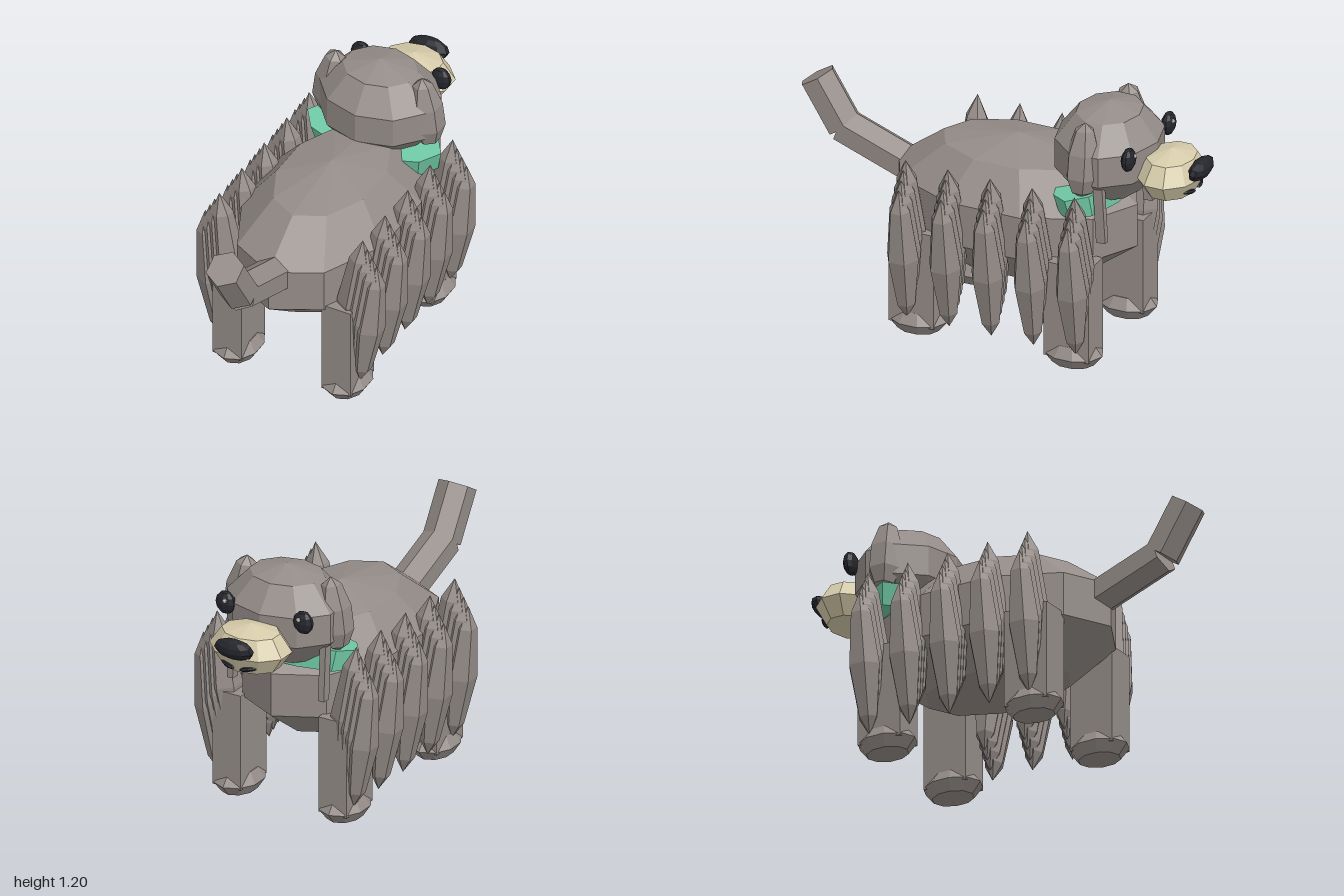
import * as THREE from 'three';

export function createModel() {
  const model = new THREE.Group();
  model.name = 'shaggyDog';

  const material = (name, color) => {
    const m = new THREE.MeshStandardMaterial({ color });
    m.name = name;
    m.flatShading = true;
    return m;
  };
  const fur = material('grey fur', 0x948c88);
  const cream = material('cream muzzle', 0xd6cbaa);
  const dark = material('dark features', 0x25252d);
  const teal = material('teal collar', 0x70c9a7);
  const glint = material('eye glint', 0xd8d8d8);

  const add = (name, geometry, mat, pos = [0, 0, 0], rot = [0, 0, 0]) => {
    const mesh = new THREE.Mesh(geometry, mat);
    mesh.name = name;
    mesh.position.set(...pos);
    mesh.rotation.set(...rot);
    model.add(mesh);
    return mesh;
  };

  // Faceted ellipsoid with ten sides and a vertex on the z axis
  const blob = (rx, ry, rz, rings = 5) =>
    new THREE.SphereGeometry(1, 10, rings).rotateY(Math.PI / 10).scale(rx, ry, rz);

  // Six-sided turned shape running from one point to another; profile is [radius, t]
  const UP = new THREE.Vector3(0, 1, 0);
  const spindle = (name, from, to, profile, turn = 0) => {
    const a = new THREE.Vector3(...from);
    const dir = new THREE.Vector3(...to).sub(a);
    const length = dir.length();
    const points = profile.map(([r, t]) => new THREE.Vector2(r, t * length));
    const mesh = add(name, new THREE.LatheGeometry(points, 6).rotateY(turn), fur, from);
    mesh.quaternion.setFromUnitVectors(UP, dir.normalize());
    return mesh;
  };

  // Body and head
  add('body', blob(0.388, 0.33, 0.615), fur, [0, 0.61, -0.055]);
  add('head', blob(0.295, 0.23, 0.247), fur, [0, 0.97, -0.505]);

  // Muzzle, nose and mouth
  add('muzzle', blob(0.195, 0.115, 0.15, 4), cream, [0, 0.915, -0.81]);
  add('nose', blob(0.1, 0.05, 0.042, 6), dark, [0, 0.96, -0.953], [-0.25, 0, 0]);

  // Collar, mostly tucked under the head
  add('collar', new THREE.CylinderGeometry(1, 0.93, 0.1, 10).rotateY(Math.PI / 10).scale(0.335, 1, 0.15),
    teal, [0, 0.785, -0.455], [0.15, 0, 0]);

  // Bent tail
  const rod = [[0, 0], [0.087, 0], [0.087, 1], [0, 1]];
  spindle('tailBase', [0, 0.635, 0.39], [0, 0.785, 0.8], rod);
  spindle('tailTip', [0, 0.785, 0.795], [0, 1.0, 0.93], rod);

  const strand = [[0, 0], [0.045, 0.12], [0.077, 0.48], [0.05, 0.85], [0, 1]];
  const earProfile = [[0, 0], [0.05, 0.08], [0.08, 0.28], [0.078, 0.6], [0.045, 0.9], [0, 1]];

  for (const [side, s] of [['left', 1], ['right', -1]]) {
    // Legs and paws
    for (const [end, z] of [['front', -0.46], ['back', 0.3]]) {
      add(`${side} ${end} leg`, new THREE.BoxGeometry(0.145, 0.46, 0.22), fur, [s * 0.273, 0.295, z]);
      add(`${side} ${end} paw`, blob(0.11, 0.072, 0.142, 4), fur, [s * 0.272, 0.075, z]);
    }

    // Five hanging tufts, each of four overlapping strands
    for (let row = 0; row < 5; row++) {
      const z = 0.32 - row * 0.207;
      for (let i = 0; i < 4; i++) {
        const k = i / 3;
        spindle(`${side} fur strand`,
          [s * (0.275 + 0.07 * k), 0.22 - 0.12 * k, z],
          [s * (0.36 + 0.07 * k), 0.88 - 0.12 * k, z], strand);
      }
    }

    // Drooping ear and the thin lock below it
    spindle(`${side} ear`, [s * 0.255, 0.83, -0.49], [s * 0.215, 1.18, -0.49], earProfile);
    add(`${side} ear lock`, new THREE.BoxGeometry(0.03, 0.26, 0.045), fur, [s * 0.235, 0.75, -0.575], [0.06, 0, 0]);

    // Eye with its glint
    add(`${side} eye`, blob(0.05, 0.055, 0.03, 6), dark, [s * 0.2, 1.035, -0.695]);
    add(`${side} eye glint`, blob(0.011, 0.011, 0.008, 4), glint, [s * 0.19, 1.055, -0.722]);

    // Mouth stroke
    add(`${side} mouth stroke`, blob(0.045, 0.012, 0.016, 4), dark, [s * 0.055, 0.862, -0.918], [0, s * -0.35, s * 0.2]);
  }

  return model;
}
